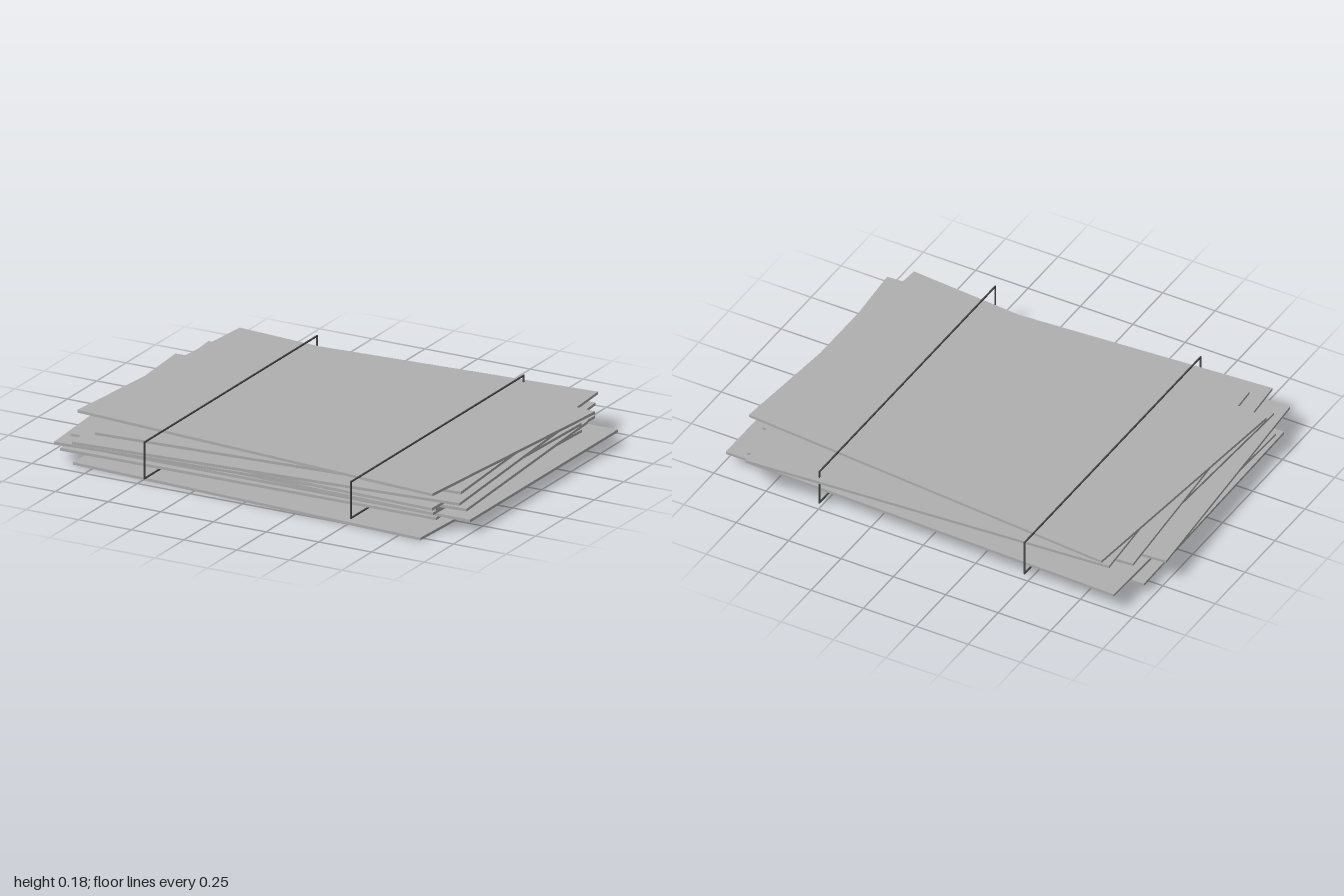
import * as THREE from 'three';

// centre x, mid-height y, centre z, width, depth, turn in degrees, tilt about x, tilt about z
const SHEETS = [
  [0.045, 0.009, 0.07, 1.70, 1.33, -3, 0.003, -0.002],
  [0.107, 0.046, -0.038, 1.77, 1.25, -0.2, 0, 0.002],
  [-0.06, 0.034, 0.012, 1.77, 1.20, 0.8, 0.002, 0],
  [-0.015, 0.058, -0.01, 1.74, 1.18, -2.5, 0, 0.001],
  [-0.037, 0.072, -0.073, 1.77, 1.30, -1.4, 0.002, 0],
  [-0.01, 0.093, 0.065, 1.89, 1.18, 3.9, -0.001, -0.001],
  [0.01, 0.109, 0.06, 1.75, 1.20, -2, 0.001, 0],
  [0.027, 0.126, 0.022, 1.77, 1.34, 4.2, 0, 0.001],
  [0.04, 0.146, -0.062, 1.675, 1.333, 3.9, 0.001, -0.001],
  [0.0225, 0.167, -0.005, 1.777, 1.20, -5, 0, -0.003],
];

export function createModel() {
  const model = new THREE.Group();
  const paper = new THREE.MeshStandardMaterial({ color: 0xb0b0b0 });
  paper.name = 'grey sheet';
  const dark = new THREE.MeshStandardMaterial({ color: 0x4a4a4a });
  dark.name = 'dark strap';

  const box = (parent, name, mat, w, h, d, x, y, z) => {
    const mesh = new THREE.Mesh(new THREE.BoxGeometry(w, h, d), mat);
    mesh.name = name;
    mesh.position.set(x, y, z);
    parent.add(mesh);
    return mesh;
  };

  // Loose pile of thin sheets, each turned a little
  const pile = new THREE.Group();
  pile.name = 'sheetPile';
  SHEETS.forEach(([x, y, z, w, d, turn, rx, rz], i) => {
    const sheet = box(pile, `sheet${i + 1}`, paper, w, 0.012, d, x, y, z);
    sheet.rotation.set(rx, THREE.MathUtils.degToRad(turn), rz, 'YXZ');
  });
  model.add(pile);

  // Two thin rectangular straps around the pile
  const t = 0.006, low = 0.021, high = 0.181, reach = 0.735;
  for (const [name, x] of [['rightStrap', -0.475], ['leftStrap', 0.505]]) {
    const strap = new THREE.Group();
    strap.name = name;
    box(strap, 'strapTop', dark, t, t, reach * 2, x, high, 0);
    box(strap, 'strapBottom', dark, t, t, reach * 2, x, low, 0);
    for (const side of [-1, 1]) {
      box(strap, side > 0 ? 'strapFront' : 'strapBack', dark,
        t, high - low + t, t, x, (high + low) / 2, side * reach);
    }
    model.add(strap);
  }
  return model;
}
